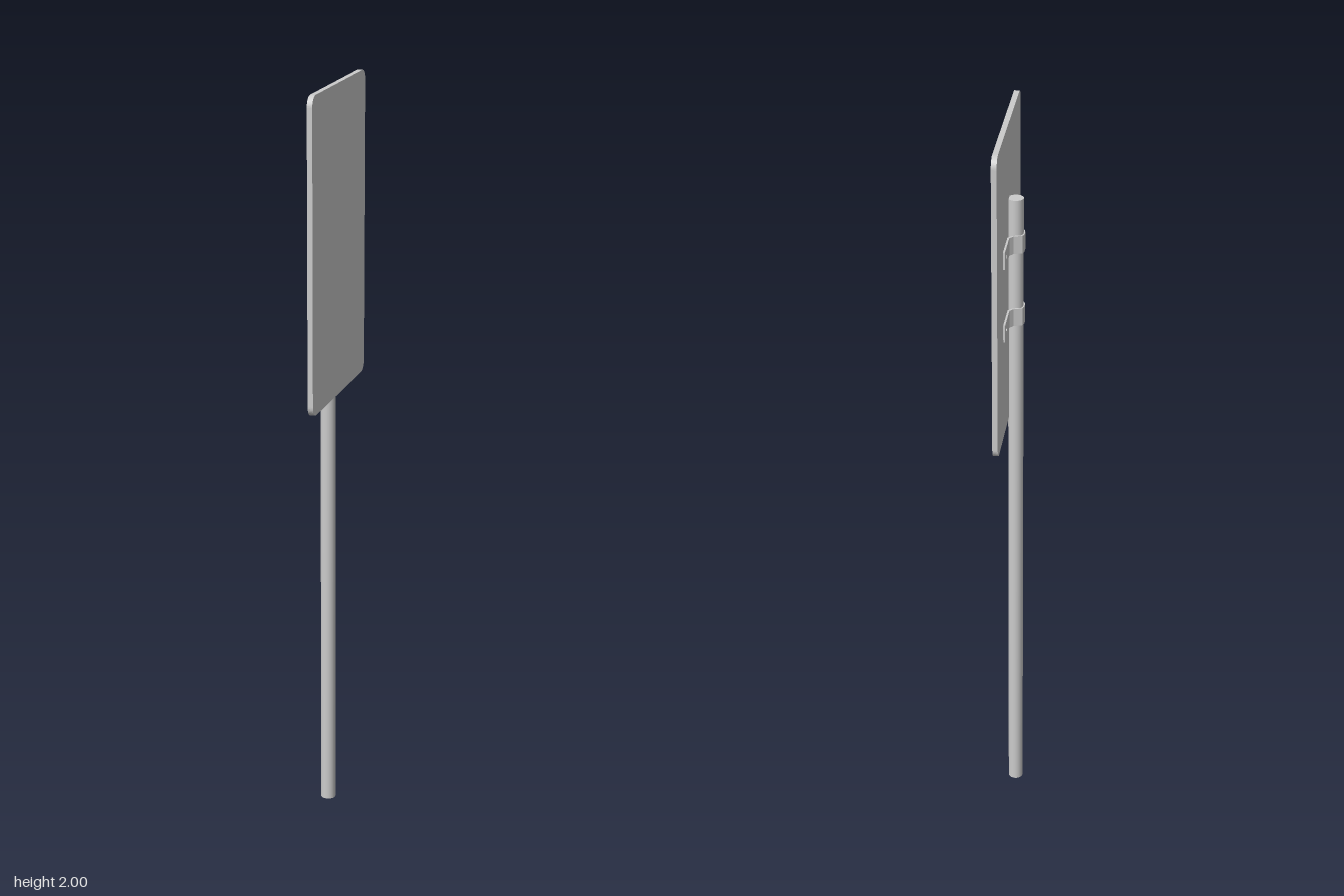
import * as THREE from 'three';

const grey = () => new THREE.MeshStandardMaterial({ color: 0xcccccc, flatShading: true });

function addMesh(parent, name, geometry, material = grey()) {
  const mesh = new THREE.Mesh(geometry, material);
  mesh.name = name;
  parent.add(mesh);
  return mesh;
}

// Upright board with rounded corners, its broad face towards +x
function panelGeometry(halfWidth, bottom, top, radius, thickness) {
  const shape = new THREE.Shape();
  const w = halfWidth - radius, b = bottom + radius, t = top - radius;
  shape.absarc(w, t, radius, 0, Math.PI / 2);
  shape.absarc(-w, t, radius, Math.PI / 2, Math.PI);
  shape.absarc(-w, b, radius, Math.PI, Math.PI * 1.5);
  shape.absarc(w, b, radius, Math.PI * 1.5, Math.PI * 2);
  return new THREE.ExtrudeGeometry(shape, { depth: thickness, bevelEnabled: false, curveSegments: 5 })
    .rotateY(Math.PI / 2);
}

// Bent strap: one half of the outline as [x, z], mirrored across z = 0
function clampGeometry(height) {
  const outer = [[0.008, 0.122], [0.008, 0.037], [-0.001, 0.027], [-0.0235, 0.019], [-0.027, 0.008]];
  const inner = [[0.013, 0.122], [0.013, 0.034], [0.002, 0.023], [-0.0205, 0.0155], [-0.0235, 0.007]];
  const mirrored = (pts) => [...pts].reverse().map(([x, z]) => [x, -z]);
  const outline = [...outer, ...mirrored(outer), ...inner.map(([x, z]) => [x, -z]), ...[...inner].reverse()];
  const shape = new THREE.Shape(outline.map(([x, z]) => new THREE.Vector2(x, z)));
  return new THREE.ExtrudeGeometry(shape, { depth: height, bevelEnabled: false })
    .rotateX(-Math.PI / 2)
    .translate(0, -height / 2, 0);
}

export function createModel() {
  const sign = new THREE.Group();
  sign.name = 'signPost';

  // Round pole
  const pole = new THREE.MeshStandardMaterial({ color: 0xcccccc });
  addMesh(sign, 'pole', new THREE.CylinderGeometry(0.02, 0.02, 1.8, 20), pole)
    .position.set(-0.004, 0.9, 0);

  // Sign board
  addMesh(sign, 'signPanel', panelGeometry(0.238, 1.18, 2, 0.028, 0.014)).position.x = 0.013;

  // Two clamps, each with a bolt head on either flange
  for (const y of [1.682, 1.48]) {
    const clamp = new THREE.Group();
    clamp.name = 'clamp';
    clamp.position.y = y;
    sign.add(clamp);
    addMesh(clamp, 'strap', clampGeometry(0.048));
    for (const side of [-1, 1]) {
      addMesh(clamp, 'bolt', new THREE.CylinderGeometry(0.005, 0.005, 0.003, 6).rotateZ(Math.PI / 2))
        .position.set(0.0078, 0, side * 0.1);
    }
  }
  return sign;
}
